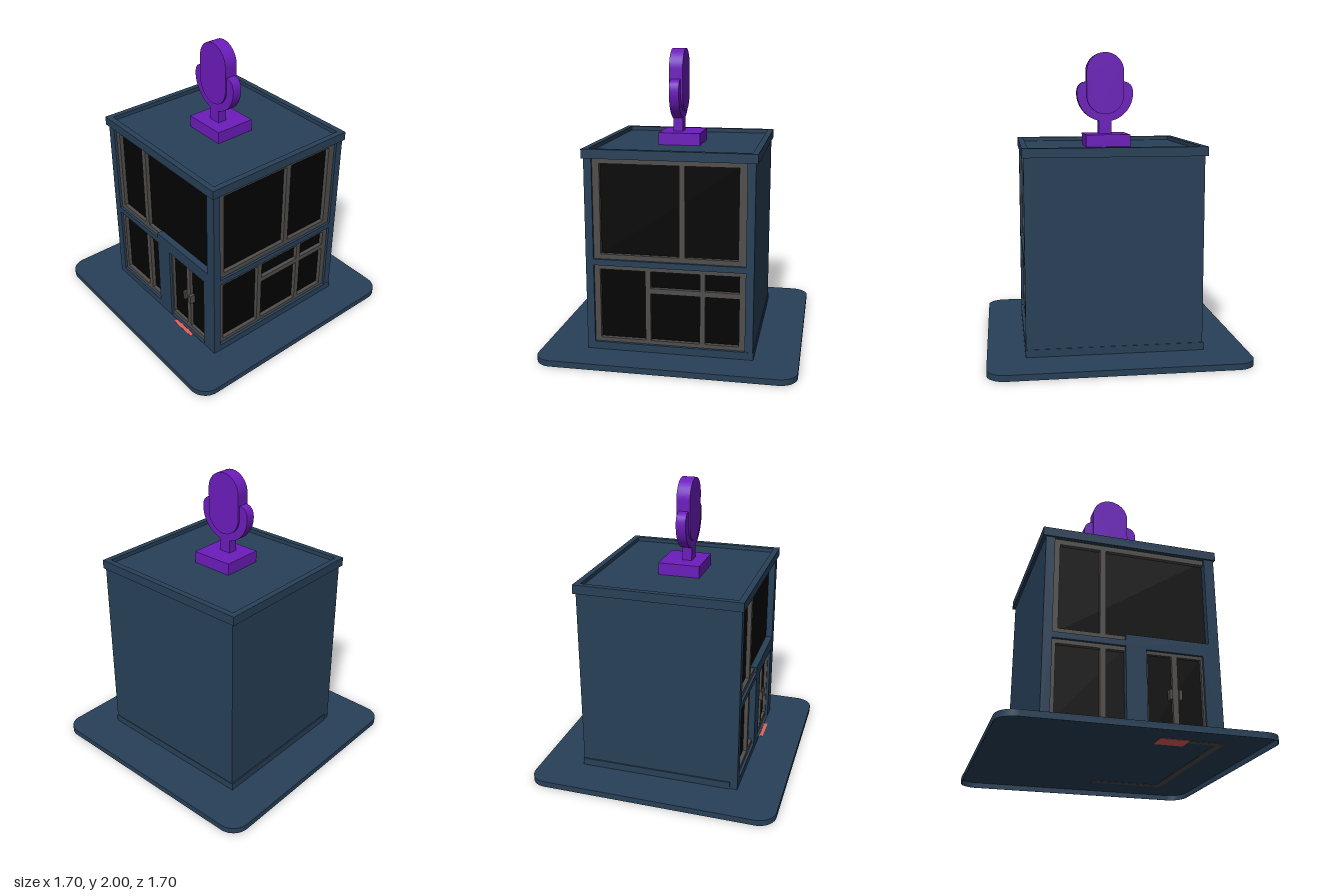
import * as THREE from 'three';

const mat = (name, color) => Object.assign(new THREE.MeshStandardMaterial({ color }), { name });

export function createModel() {
  const wall = mat('slate blue', 0x284058);
  const glass = mat('dark glass', 0x020202);
  const frame = mat('frame grey', 0x504e4c);
  const purple = mat('purple', 0x6c1cbc);
  const red = mat('mat red', 0xe0605a);
  const model = new THREE.Group();
  model.name = 'studioBuilding';

  const add = (name, geo, material, parent = model) => {
    const m = new THREE.Mesh(geo, material);
    m.name = name;
    parent.add(m);
    return m;
  };
  // Box given by its limits on each axis
  const box = (name, material, x0, x1, y0, y1, z0, z1, parent) => {
    const m = add(name, new THREE.BoxGeometry(x1 - x0, y1 - y0, z1 - z0), material, parent);
    m.position.set((x0 + x1) / 2, (y0 + y1) / 2, (z0 + z1) / 2);
    return m;
  };
  const poly = (pts) => pts.map(([x, y]) => new THREE.Vector2(x, y));
  const rect = (x0, x1, y0, y1) => [[x0, y0], [x1, y0], [x1, y1], [x0, y1]];
  const slab = (outline, holes, depth) => {
    const s = new THREE.Shape(poly(outline));
    holes.forEach((h) => s.holes.push(new THREE.Path(poly(h))));
    return new THREE.ExtrudeGeometry(s, { depth, bevelEnabled: false });
  };

  // Rounded ground slab: a thin top sheet on a rim, open below
  const k = 0.73;
  const rounded = (path, r) => {
    [[k, k], [-k, k], [-k, -k], [k, -k]].forEach(([x, y], i) => path.absarc(x, y, r, i * Math.PI / 2, (i + 1) * Math.PI / 2));
    return path;
  };
  const raise = (shape, depth) =>
    new THREE.ExtrudeGeometry(shape, { depth, bevelEnabled: false, curveSegments: 10 }).rotateX(-Math.PI / 2);
  const rim = rounded(new THREE.Shape(), 0.12);
  rim.holes.push(rounded(new THREE.Path(), 0.117));
  add('groundRim', raise(rim, 0.038), wall);
  add('groundTop', raise(rounded(new THREE.Shape(), 0.12), 0.004).translate(0, 0.036, 0), wall);

  // Solid core, plinth and the two window walls
  box('core', wall, -0.56, 0.55, 0.039, 1.33, -0.553, 0.5);
  box('plinth', wall, -0.568, 0.602, 0.039, 0.09, -0.557, 0.499);
  const frontHoles = [
    [[-0.5, 0.66], [-0.03, 0.66], [-0.03, 0.7], [0.53, 0.7], [0.53, 1.325], [-0.5, 1.325]],
    rect(-0.5, -0.03, 0.09, 0.62),
    rect(0.105, 0.487, 0.045, 0.61),
  ];
  add('frontWall', slab(rect(-0.56, 0.6, 0.039, 1.33), frontHoles, 0.05), wall).position.z = 0.5;
  const side = new THREE.Group();
  side.name = 'rightSide';
  side.rotation.y = Math.PI / 2; // local x runs along -z, local z along +x
  model.add(side);
  const sideHoles = [rect(-0.499, 0.5, 0.66, 1.325), rect(-0.499, 0.5, 0.09, 0.62)];
  add('sideWall', slab(rect(-0.5, 0.553, 0.039, 1.33), sideHoles, 0.05), wall, side).position.z = 0.55;

  // Window panes
  box('upperFrontGlass', glass, -0.5, 0.53, 0.66, 1.325, 0.498, 0.504);
  box('lowerFrontGlass', glass, -0.5, -0.03, 0.09, 0.62, 0.498, 0.504);
  box('upperSideGlass', glass, -0.499, 0.5, 0.66, 1.325, 0.548, 0.554, side);
  box('lowerSideGlass', glass, -0.499, 0.5, 0.09, 0.62, 0.548, 0.554, side);

  // Window bars: x0, x1, y0, y1
  [
    [-0.5, -0.462, 0.66, 1.325], [-0.462, 0.53, 1.289, 1.325], [-0.193, -0.153, 0.693, 1.289], [-0.462, -0.03, 0.66, 0.693],
    [-0.5, -0.474, 0.09, 0.62], [-0.474, -0.03, 0.592, 0.62], [-0.474, -0.03, 0.09, 0.121], [-0.193, -0.153, 0.121, 0.592],
  ].forEach((b) => box('frontWindowBar', frame, ...b, 0.5, 0.532));
  [
    [-0.499, -0.453, 0.66, 1.325], [0.45, 0.5, 0.66, 1.325], [-0.453, 0.45, 1.292, 1.325], [-0.453, 0.45, 0.66, 0.693],
    [0.068, 0.105, 0.693, 1.292],
    [-0.499, -0.46, 0.09, 0.62], [0.46, 0.5, 0.09, 0.62], [-0.46, 0.46, 0.59, 0.62], [-0.46, 0.46, 0.09, 0.116],
    [-0.157, -0.122, 0.116, 0.59], [0.204, 0.238, 0.116, 0.59], [-0.122, 0.204, 0.44, 0.476], [0.238, 0.46, 0.44, 0.476],
  ].forEach((b) => box('sideWindowBar', frame, ...b, 0.55, 0.582, side));

  // Recessed double door with handles and mat
  const doorHoles = [rect(0.117, 0.277, 0.08, 0.588), rect(0.314, 0.475, 0.08, 0.588)];
  add('doorFrame', slab(rect(0.105, 0.487, 0.045, 0.61), doorHoles, 0.032), frame).position.z = 0.5;
  box('doorGlass', glass, 0.11, 0.48, 0.06, 0.6, 0.5, 0.51);
  [0.252, 0.314].forEach((x) => box('doorHandle', frame, x, x + 0.02, 0.3, 0.365, 0.508, 0.548));
  box('doorMat', red, 0.17, 0.36, 0.034, 0.0415, 0.45, 0.577);

  // Floor strips showing on the underside of the sheet
  box('sideFloorStrip', frame, 0.54, 0.59, 0.034, 0.038, -0.59, 0.57);
  box('rearFloorStrip', frame, 0.06, 0.54, 0.034, 0.038, -0.59, -0.54);
  box('frontFloorStrip', frame, 0.36, 0.54, 0.034, 0.038, 0.52, 0.57);

  // Roof and parapet
  box('roofDeck', wall, -0.56, 0.59, 1.327, 1.358, -0.55, 0.54);
  const parapet = slab(rect(-0.58, 0.61, -0.563, 0.567), [rect(-0.54, 0.57, -0.523, 0.527)], 0.06);
  add('parapet', parapet.rotateX(-Math.PI / 2), wall).position.y = 1.326;

  // Rooftop microphone
  const mic = new THREE.Group();
  mic.name = 'microphone';
  mic.position.set(0.011, 0, 0.04);
  model.add(mic);
  box('micBase', purple, -0.155, 0.149, 1.355, 1.44, -0.168, 0.118, mic);
  box('micStem', purple, -0.045, 0.045, 1.44, 1.55, -0.032, 0.034, mic);
  const cradle = new THREE.Shape();
  cradle.moveTo(-0.12, 1.8);
  cradle.quadraticCurveTo(-0.196, 1.8, -0.196, 1.72);
  cradle.absarc(0, 1.72, 0.196, Math.PI, Math.PI * 2);
  cradle.quadraticCurveTo(0.196, 1.8, 0.12, 1.8);
  cradle.lineTo(0.12, 1.7);
  cradle.absarc(0, 1.7, 0.12, 0, Math.PI, true);
  const cradleGeo = new THREE.ExtrudeGeometry(cradle, { depth: 0.066, bevelEnabled: false, curveSegments: 20 });
  add('micCradle', cradleGeo.translate(0, 0, -0.032), purple, mic);
  const head = new THREE.Shape();
  head.absarc(0, 1.87, 0.13, 0, Math.PI);
  head.absarc(0, 1.705, 0.13, Math.PI, Math.PI * 2);
  const headGeo = new THREE.ExtrudeGeometry(head, { depth: 0.092, bevelEnabled: false, curveSegments: 20 });
  add('micHead', headGeo.translate(0, 0, -0.047), purple, mic);

  return model;
}
